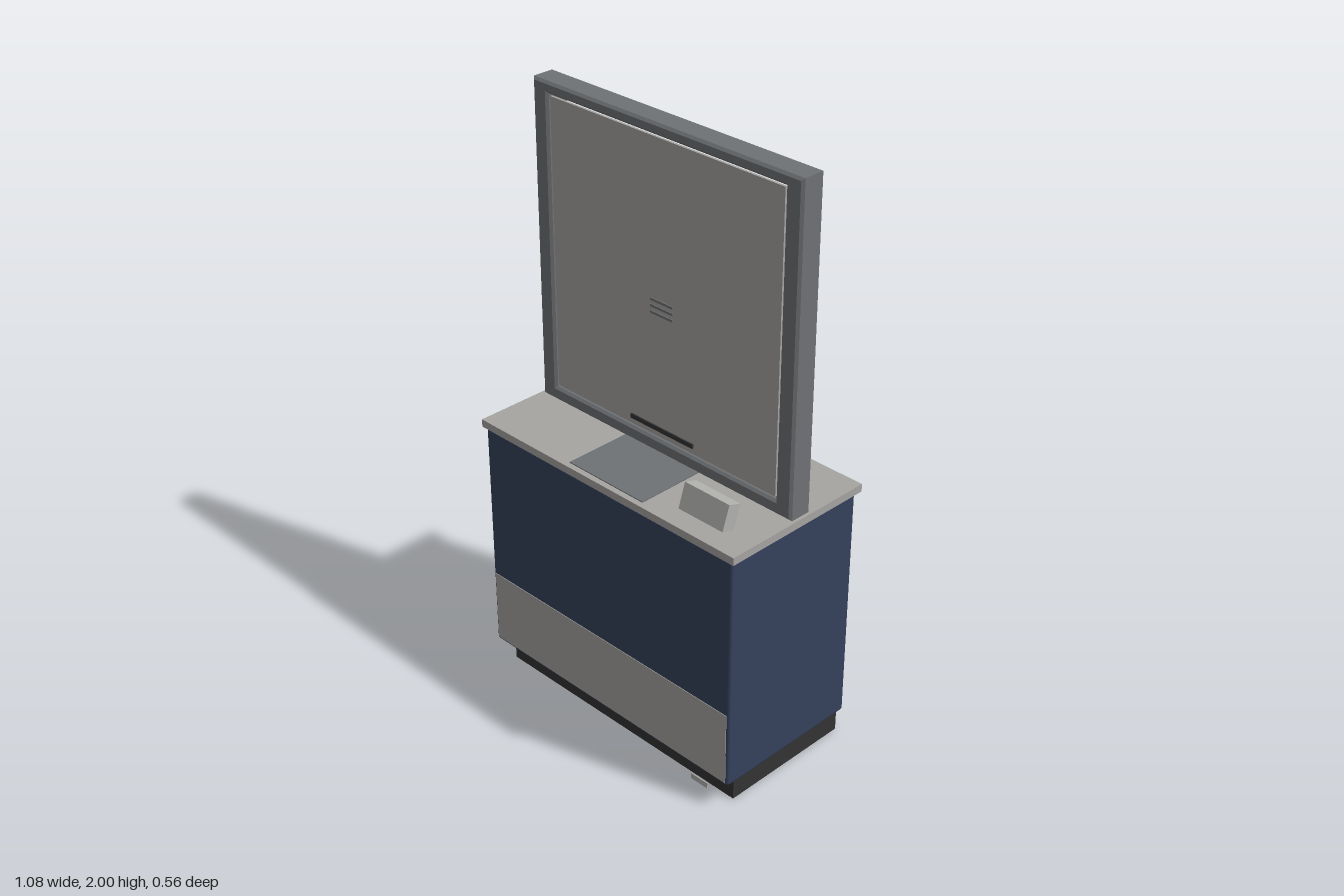
import * as THREE from 'three';
import { RoundedBoxGeometry } from 'three/addons/geometries/RoundedBoxGeometry.js';

const mat = (name, color) => {
  const m = new THREE.MeshStandardMaterial({ color });
  m.name = name;
  return m;
};

export function createModel() {
  const model = new THREE.Group();
  model.name = 'serviceCounter';
  const navy = mat('navyPanel', 0x35415c);
  const stone = mat('lightGrey', 0xa7a5a2);
  const steel = mat('frameGrey', 0x6f7275);
  const black = mat('plinthBlack', 0x333333);
  const silver = mat('silverGrey', 0xb2b2af);

  const add = (name, geometry, material) => {
    const mesh = new THREE.Mesh(geometry, material);
    mesh.name = name;
    model.add(mesh);
    return mesh;
  };
  // Box given by its min and max corners, with an optional edge radius
  const box = (name, material, [x0, y0, z0], [x1, y1, z1], radius = 0) => {
    const size = [x1 - x0, y1 - y0, z1 - z0];
    const geometry = radius
      ? new RoundedBoxGeometry(...size, 2, radius)
      : new THREE.BoxGeometry(...size);
    const mesh = add(name, geometry, material);
    mesh.position.set((x0 + x1) / 2, (y0 + y1) / 2, (z0 + z1) / 2);
    return mesh;
  };
  const rect = (Type, x0, y0, x1, y1) => {
    const p = new Type();
    p.moveTo(x0, y0).lineTo(x1, y0).lineTo(x1, y1).lineTo(x0, y1).closePath();
    return p;
  };

  // Hollow plinth, open at the bottom
  const ring = rect(THREE.Shape, -0.503, -0.21, 0.503, 0.265);
  ring.holes.push(rect(THREE.Path, -0.495, -0.202, 0.495, 0.257));
  const plinth = new THREE.ExtrudeGeometry(ring, { depth: 0.095, bevelEnabled: false });
  plinth.rotateX(-Math.PI / 2);
  add('plinth', plinth, black);

  // Cabinet with a light kick panel on the front
  box('cabinet', navy, [-0.53, 0.095, -0.265], [0.53, 0.911, 0.265], 0.01);
  box('kickPanel', stone, [-0.52, 0.106, 0.26], [0.52, 0.362, 0.267]);
  box('plinthTag', silver, [0.39, 0.056, 0.277], [0.46, 0.076, 0.28]);

  // Worktop and the mat lying on it
  box('worktop', stone, [-0.541, 0.911, -0.28], [0.541, 0.937, 0.272]);
  box('counterMat', steel, [-0.157, 0.936, -0.02], [0.157, 0.94, 0.252]);

  // Upright screen frame with bevelled edges
  const b = 0.008;
  const frame = rect(THREE.Shape, -0.53 + b, 0.937 + b, 0.53 - b, 2 - b);
  frame.holes.push(rect(THREE.Path, -0.468 - b, 0.984 - b, 0.468 + b, 1.962 + b));
  const frameGeometry = new THREE.ExtrudeGeometry(frame, {
    depth: 0.086 - 2 * b, bevelSize: b, bevelThickness: b, bevelSegments: 1,
  });
  frameGeometry.translate(0, 0, -0.062 + b);
  add('screenFrame', frameGeometry, steel);

  // Screen pane with a speech grille and a pass-through slot
  box('screenPane', stone, [-0.462, 0.99, 0.008], [0.462, 1.955, 0.016]);
  for (const y of [1.404, 1.425, 1.446]) {
    box('speechGrille', steel, [-0.047, y - 0.004, 0.015], [0.047, y + 0.004, 0.019]);
  }
  box('passSlot', black, [-0.132, 1.01, 0.015], [0.132, 1.025, 0.021]);

  // Tilted card terminal on the worktop
  const terminal = box('cardTerminal', silver, [0.266, 0.938, 0.152], [0.442, 1.022, 0.2]);
  terminal.position.set(0.354, 0.982, 0.177);
  terminal.rotation.x = -0.32;

  return model;
}
